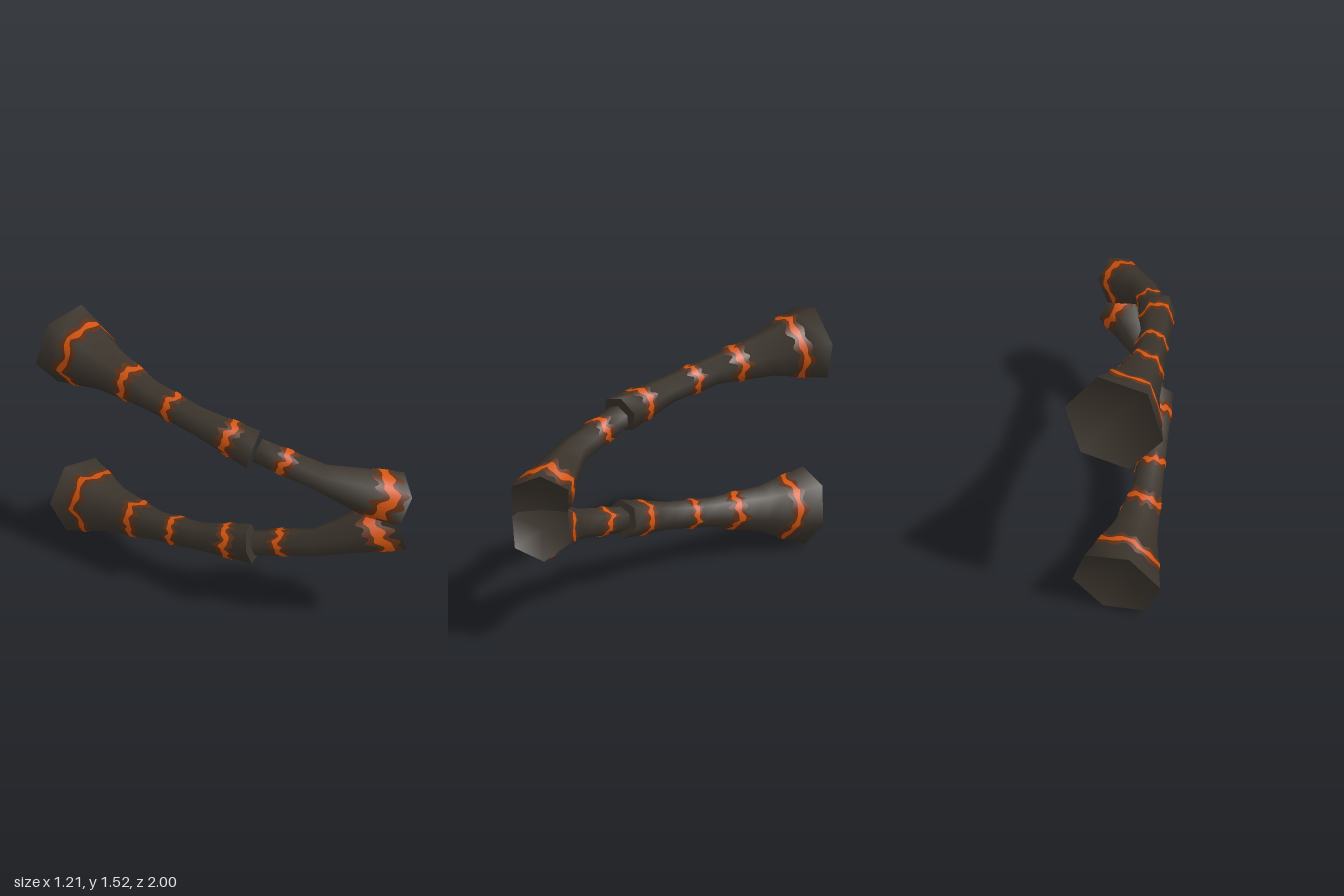
import * as THREE from 'three';

const stone = new THREE.MeshStandardMaterial({ color: 0x3b342c, side: THREE.DoubleSide });
stone.name = 'dark stone';
const ember = new THREE.MeshStandardMaterial({ color: 0x613016, side: THREE.DoubleSide });
ember.name = 'ember brown';
const lava = new THREE.MeshStandardMaterial({ color: 0xd25410, side: THREE.DoubleSide });
lava.name = 'lava orange';

const MIRROR_Y = 0.768;
const V = (a) => new THREE.Vector3(...a);

// ring: centre, axis (towards the mouth), radius, twist in degrees
const ring = (c, n, r, twist) => ({ c: V(c), n: V(n).normalize(), r, twist: THREE.MathUtils.degToRad(twist) });

const mouthRings = [
  ring([0.54, 0.85, 0.86], [0.89, -0.38, 0.25], 0.163, -5),
  ring([0.235, 0.98, 0.62], [0.55, -0.3, 0.8], 0.083, -8),
  ring([0.035, 1.075, 0.33], [0.55, -0.28, 0.8], 0.074, -10),
];
const bodyRings = [
  ring([0.015, 1.08, 0.32], [0.6, -0.25, 0.75], 0.112, -17),
  ring([-0.122, 1.155, 0.01], [0.38, -0.18, 0.9], 0.081, -18),
  ring([-0.225, 1.212, -0.29], [0.25, -0.16, 0.95], 0.088, -19),
  ring([-0.3, 1.262, -0.63], [0.15, -0.15, 0.97], 0.141, -20),
  ring([-0.36, 1.3, -0.953], [0.165, -0.147, 0.975], 0.246, -20),
];

// corner k of a six-sided ring
function corner(g, k, lift = 0) {
  const u = new THREE.Vector3(0, 1, 0).addScaledVector(g.n, -g.n.y).normalize();
  const w = g.n.clone().cross(u);
  const a = g.twist + (k * Math.PI) / 3;
  return g.c.clone()
    .addScaledVector(u, (g.r + lift) * Math.cos(a))
    .addScaledVector(w, (g.r + lift) * Math.sin(a));
}

// point on the horn: s runs along the rings, a runs 0..6 around the sides
function surface(rings, s, a, lift = 0) {
  const i = Math.min(Math.max(Math.floor(s), 0), rings.length - 2);
  const k = Math.floor(a);
  const side = (g) => corner(g, k, lift).lerp(corner(g, k + 1, lift), a - k);
  return side(rings[i]).lerp(side(rings[i + 1]), s - i);
}

function makeGeometry(points, index, normals, mirrored) {
  const geo = new THREE.BufferGeometry();
  geo.setAttribute('position', new THREE.Float32BufferAttribute(points.flatMap((p) => p.toArray()), 3));
  geo.setIndex(index);
  if (normals) geo.setAttribute('normal', new THREE.Float32BufferAttribute(normals.flatMap((p) => p.toArray()), 3));
  else geo.computeVertexNormals();
  if (mirrored) {
    geo.scale(1, -1, 1);
    geo.translate(0, 2 * MIRROR_Y, 0);
    const ix = geo.index.array;
    for (let i = 0; i < ix.length; i += 3) [ix[i + 1], ix[i + 2]] = [ix[i + 2], ix[i + 1]];
  }
  return geo;
}

// smooth six-sided tube through the rings
function tube(rings, mirrored) {
  const points = [], index = [], sub = 3;
  const rows = (rings.length - 1) * sub;
  for (let j = 0; j <= rows; j++) for (let k = 0; k < 6; k++) points.push(surface(rings, j / sub, k));
  for (let j = 0; j < rows; j++) {
    for (let k = 0; k < 6; k++) {
      const a = j * 6 + k, b = j * 6 + ((k + 1) % 6);
      index.push(a, a + 6, b, b, a + 6, b + 6);
    }
  }
  return makeGeometry(points, index, null, mirrored);
}

// end face; depth sinks its middle into the horn
function cap(g, front, depth, mirrored) {
  const points = [g.c.clone().addScaledVector(g.n, front ? -depth : depth)];
  const index = [];
  for (let k = 0; k < 6; k++) {
    points.push(corner(g, k));
    const a = 1 + k, b = 1 + ((k + 1) % 6);
    if (front) index.push(0, a, b);
    else index.push(0, b, a);
  }
  return makeGeometry(points, index, null, mirrored);
}

// jagged glowing strip wrapped round the horn
function band(rings, s, half, rough, seed, lift, mirrored) {
  const points = [], normals = [], index = [], n = 60;
  for (let i = 0; i <= n; i++) {
    const a = (i % n) / 10, t = (i / n) * Math.PI * 2;
    const drift = rough * (0.6 * Math.sin(3 * t + seed) + 0.5 * Math.sin(7 * t + 2 * seed));
    const width = half * (1 + 0.3 * Math.sin(11 * t + seed * 3));
    for (const d of [-width, width]) {
      const p = surface(rings, s + drift + d, a, lift);
      const k = Math.min(Math.max(Math.floor(s), 0), rings.length - 2);
      const mid = rings[k].c.clone().lerp(rings[k + 1].c, s + drift + d - k);
      points.push(p);
      normals.push(p.clone().sub(mid).normalize());
    }
    if (i < n) index.push(2 * i, 2 * i + 1, 2 * i + 2, 2 * i + 2, 2 * i + 1, 2 * i + 3);
  }
  return makeGeometry(points, index, normals, mirrored);
}

// rings, place along them, half width of the glow and of the bright core, roughness
const bands = [
  [mouthRings, 0.23, 0.15, 0.065, 0.05],
  [mouthRings, 0.56, 0.13, 0.05, 0.05],
  [bodyRings, 0.42, 0.14, 0.055, 0.05],
  [bodyRings, 1.53, 0.13, 0.055, 0.05],
  [bodyRings, 2.42, 0.15, 0.055, 0.05],
  [bodyRings, 3.53, 0.13, 0.05, 0.05],
];

function horn(name, mirrored) {
  const group = new THREE.Group();
  group.name = name;
  const add = (part, geo, mat) => {
    const mesh = new THREE.Mesh(geo, mat);
    mesh.name = part;
    group.add(mesh);
  };
  add('mouthTube', tube(mouthRings, mirrored), stone);
  add('mouthHollow', cap(mouthRings[0], true, 0.06, mirrored), stone);
  add('bodyTube', tube(bodyRings, mirrored), stone);
  add('collarFace', cap(bodyRings[0], true, 0, mirrored), stone);
  add('flareHollow', cap(bodyRings[4], false, 0.12, mirrored), stone);
  // glowing cracks: wide glow with a bright core on top
  bands.forEach(([rings, s, glow, core, rough], i) => {
    // the second mouth band sits past the bend
    const at = rings === mouthRings && i === 1 ? s + 1 : s;
    add('crackGlow', band(rings, at, glow, rough, i + 1, 0.003, mirrored), ember);
    add('crackCore', band(rings, at, core, rough, i + 1, 0.006, mirrored), lava);
  });
  return group;
}

export function createModel() {
  const model = new THREE.Group();
  model.name = 'hornPair';
  model.add(horn('upperHorn', false), horn('lowerHorn', true));
  return model;
}
